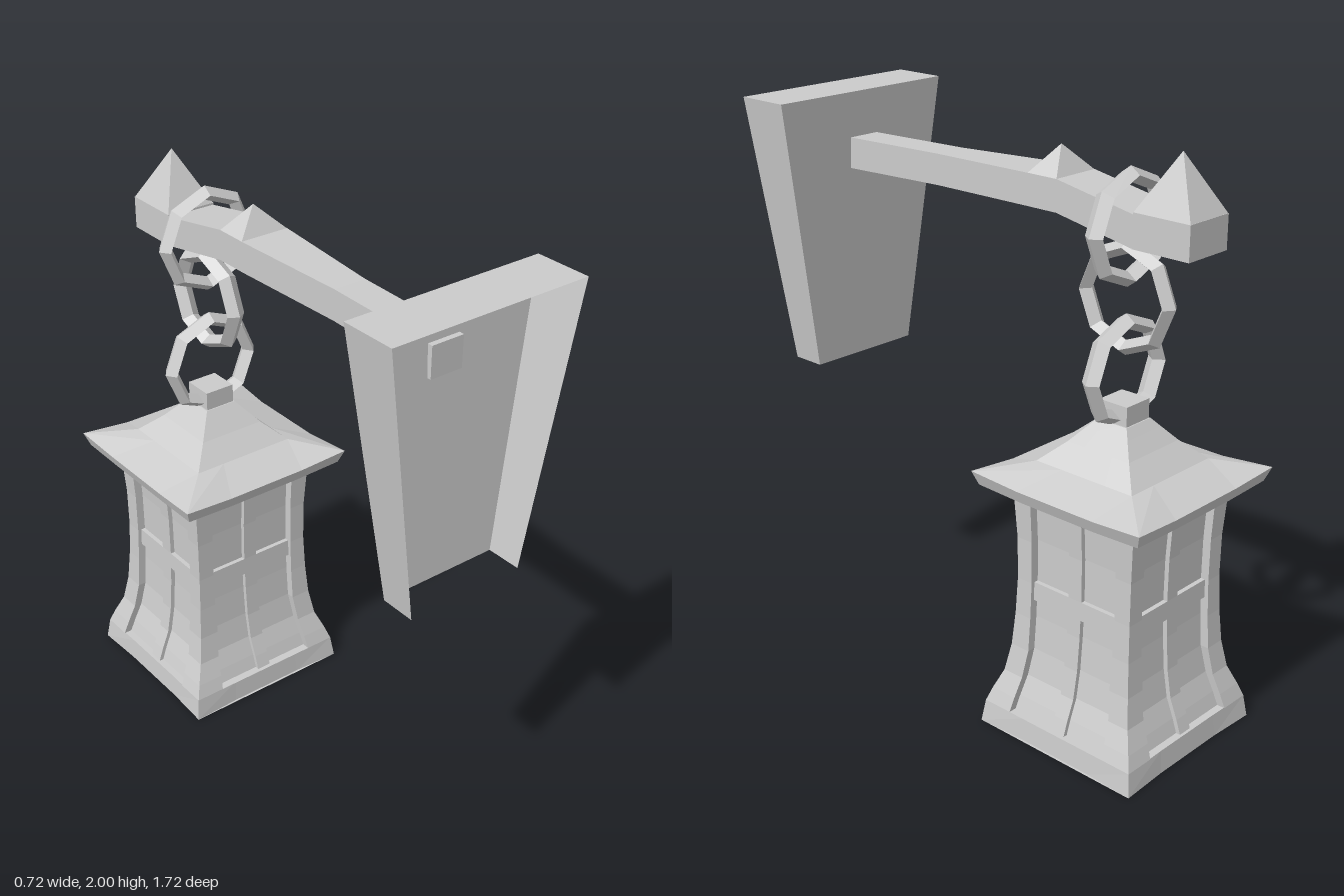
import * as THREE from 'three';

const mat = new THREE.MeshStandardMaterial({ color: 0xcccccc, flatShading: true });
const thinMat = new THREE.MeshStandardMaterial({ color: 0xcccccc, flatShading: true, side: THREE.DoubleSide });

function add(parent, name, geometry, material = mat) {
  const mesh = new THREE.Mesh(geometry, material);
  mesh.name = name;
  parent.add(mesh);
  return mesh;
}

// Skin stacked rings of [x, y, z] points, listed from the bottom up
function loft(rings, { closed = true, bottom = true, top = true } = {}) {
  const pos = [];
  const n = rings[0].length;
  const tri = (a, b, c) => pos.push(...a, ...b, ...c);
  for (let i = 0; i < rings.length - 1; i++) {
    for (let j = 0; j < (closed ? n : n - 1); j++) {
      const k = (j + 1) % n;
      const [a, b, c, d] = [rings[i][j], rings[i][k], rings[i + 1][k], rings[i + 1][j]];
      tri(a, b, c);
      tri(a, c, d);
    }
  }
  const first = rings[0], last = rings[rings.length - 1];
  for (let j = 1; j < n - 1; j++) {
    if (bottom) tri(first[0], first[j + 1], first[j]);
    if (top) tri(last[0], last[j], last[j + 1]);
  }
  const g = new THREE.BufferGeometry();
  g.setAttribute('position', new THREE.Float32BufferAttribute(pos, 3));
  g.computeVertexNormals();
  return g;
}

// Rectangular ring at height y
const rect = (hx, y, z0, z1) => [[hx, y, z1], [hx, y, z0], [-hx, y, z0], [-hx, y, z1]];

// Square ring with optional corner lift and drawn-in side middles
function squareRing(h, y, lift = 0, inset = 0) {
  const ring = [];
  for (let side = 0; side < 4; side++) {
    const a = side * Math.PI / 2, c = Math.round(Math.cos(a)), s = Math.round(Math.sin(a));
    for (const t of [1, 0.45, -0.45]) {
      const x = t === 1 ? h : h - inset, z = h * t;
      ring.push([x * c + z * s, y + (t === 1 ? lift : 0), z * c - x * s]);
    }
  }
  return ring;
}

// Half width of the lantern body by height
const PROFILE = [[0, 0.323], [0.08, 0.312], [0.13, 0.295], [0.2, 0.267], [0.3, 0.25],
  [0.42, 0.241], [0.55, 0.236], [0.7, 0.237], [0.87, 0.247]];
function halfWidth(y) {
  const i = Math.max(1, PROFILE.findIndex(p => p[0] >= y));
  const [y0, h0] = PROFILE[i - 1], [y1, h1] = PROFILE[i];
  return h0 + (h1 - h0) * (y - y0) / (y1 - y0);
}
const windowHalf = y => 0.175 + 0.027 * Math.max(0, (0.3 - y) / 0.22);

function makeLantern() {
  const lantern = new THREE.Group();
  lantern.name = 'lantern';
  const upper = PROFILE.slice(1);
  const recess = 0.03;

  add(lantern, 'base', loft([squareRing(0.323, 0, 0, 0.008), squareRing(0.312, 0.08, 0, 0.004)]));
  add(lantern, 'windowPanes', loft(upper.map(([y, h]) => squareRing(h - recess, y))));

  // L-shaped corner post, sash bars on each side
  const post = loft(upper.map(([y, h]) => {
    const w = windowHalf(y), d = h - recess - 0.005;
    return [[h, y, h], [h, y, w], [d, y, w], [w, y, w], [w, y, d], [w, y, h]];
  }), { bottom: false, top: false });
  const upright = loft(upper.map(([y, h]) => rect(0.027, y, h - 0.05, h - 0.014)));
  const crossbar = loft([0.485, 0.55].map(y =>
    rect(windowHalf(y), y, halfWidth(y) - 0.05, halfWidth(y) - 0.014)));
  for (let i = 0; i < 4; i++) {
    const side = new THREE.Group();
    side.name = 'windowSide';
    side.rotation.y = i * Math.PI / 2;
    add(side, 'cornerPost', post);
    add(side, 'windowUpright', upright);
    add(side, 'windowCrossbar', crossbar);
    lantern.add(side);
  }

  // Flared roof with lifted corners
  add(lantern, 'roof', loft([
    squareRing(0.243, 0.862), squareRing(0.325, 0.88, 0.01, 0.006), squareRing(0.343, 0.923, 0.015, 0.008),
    squareRing(0.195, 0.972), squareRing(0.125, 1.038), squareRing(0.085, 1.085), squareRing(0.06, 1.115),
  ]));
  add(lantern, 'roofCap', new THREE.BoxGeometry(0.112, 0.08, 0.112)).position.y = 1.142;
  return lantern;
}

// Four-sided spike on a rectangular foot
function spike(width, height, depth) {
  const g = new THREE.ConeGeometry(Math.SQRT1_2, 1, 4, 1);
  g.rotateY(Math.PI / 4);
  g.translate(0, 0.5, 0);
  g.scale(width, height, depth);
  return g;
}

export function createModel() {
  const model = new THREE.Group();
  model.name = 'hangingLantern';

  // Tapered wall plate, hollow towards the wall and underneath
  add(model, 'wallPlate', loft([rect(0.218, 1.04, 0.705, 0.83), rect(0.362, 2, 0.665, 0.863)],
    { closed: false, bottom: false }), thinMat);

  // Bracket arm: [z, half width, bottom, top], swept away from the wall
  const arm = loft([
    [0.69, 0.06, 1.735, 1.843], [0.25, 0.06, 1.748, 1.853], [-0.18, 0.09, 1.76, 1.865],
    [-0.3, 0.09, 1.76, 1.865], [-0.6, 0.09, 1.705, 1.81],
  ].map(([z, hx, y0, y1]) => rect(hx, -z, y0, y1)));
  arm.rotateX(-Math.PI / 2);
  add(model, 'arm', arm);
  add(model, 'armTip', new THREE.BoxGeometry(0.184, 0.112, 0.21)).position.set(0, 1.761, -0.705);
  add(model, 'tipSpike', spike(0.184, 0.185, 0.21)).position.set(0, 1.815, -0.705);
  add(model, 'smallSpike', spike(0.18, 0.087, 0.12)).position.set(0, 1.864, -0.24);

  // Chain of eight-sided links, turned in alternation
  const link = new THREE.TorusGeometry(0.164, 0.025, 4, 8);
  link.scale(1, 1, 1.4);
  [1.738, 1.516, 1.275].forEach((y, i) => {
    const mesh = add(model, 'chainLink', link);
    mesh.position.set(0, y, -0.515);
    mesh.rotation.y = i % 2 ? Math.PI / 2 : 0;
  });

  const lantern = makeLantern();
  lantern.position.z = -0.518;
  model.add(lantern);
  return model;
}
